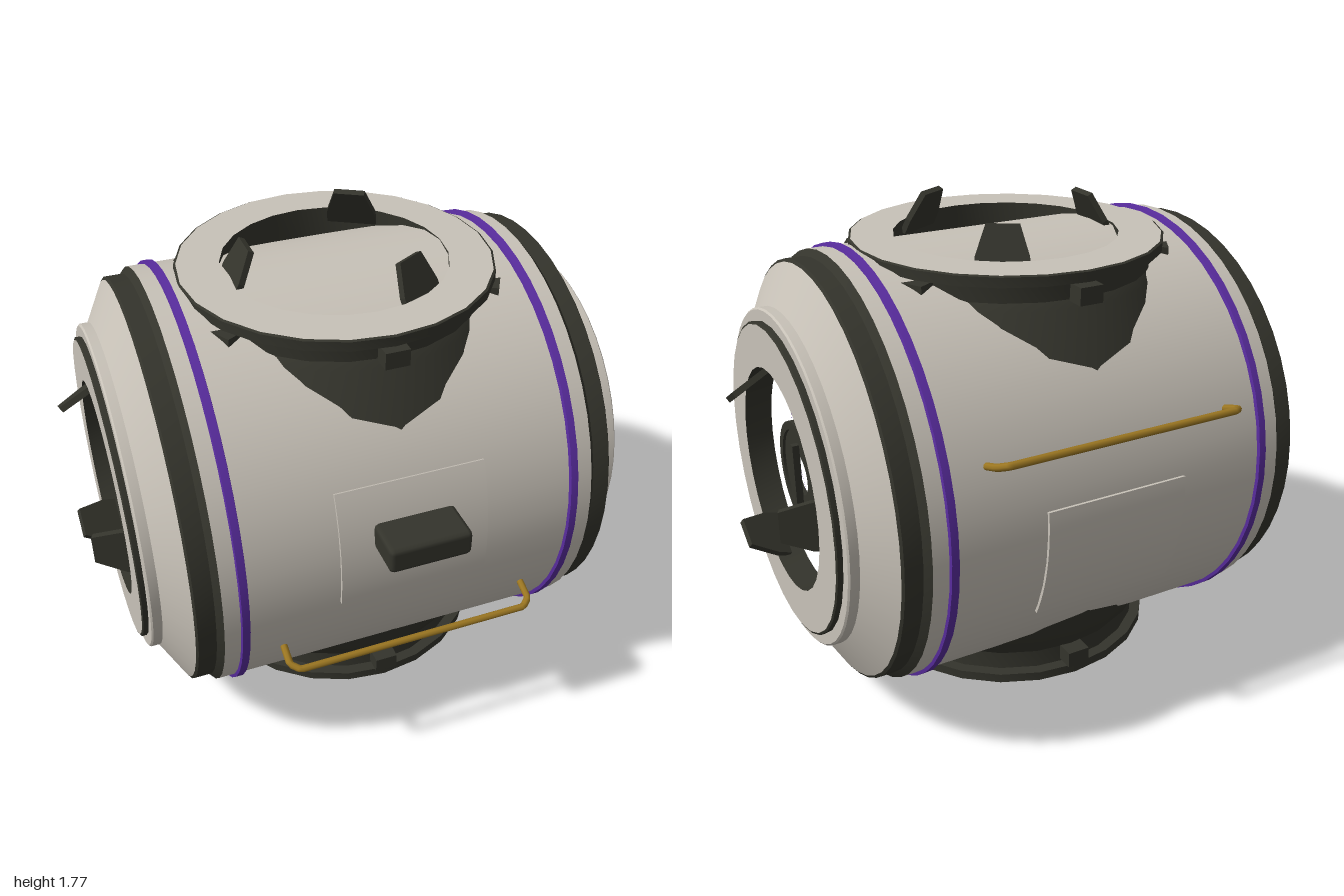
import * as THREE from 'three';
import { toCreasedNormals } from 'three/addons/utils/BufferGeometryUtils.js';
import { RoundedBoxGeometry } from 'three/addons/geometries/RoundedBoxGeometry.js';

function material(name, color, side = THREE.FrontSide) {
  const m = new THREE.MeshStandardMaterial({ color, side });
  m.name = name;
  return m;
}
const hull = material('warm grey hull', 0xc8c2b8);
const dark = material('dark metal', 0x34342c);
const darkSheet = material('dark sheet metal', 0x34342c, THREE.DoubleSide);
const purple = material('purple trim', 0x5a2da0);
const gold = material('gold rail', 0x9c7722);

function add(parent, name, geometry, mat) {
  const mesh = new THREE.Mesh(geometry, mat);
  mesh.name = name;
  parent.add(mesh);
  return mesh;
}

// Turned part about local y, with sharp edges kept
function turned(points, segments = 32) {
  const g = new THREE.LatheGeometry(points.map(([r, y]) => new THREE.Vector2(r, y)), segments);
  return toCreasedNormals(g, 0.45);
}

// Tapered guide petals around an opening whose rim is at height h
function addPetals(parent, h) {
  const s = new THREE.Shape([
    [-0.092, 0], [0.092, 0], [0.09, 0.055], [0.056, 0.163], [-0.056, 0.163], [-0.09, 0.055],
  ].map(([x, y]) => new THREE.Vector2(x, y)));
  const g = new THREE.ExtrudeGeometry(s, { depth: 0.022, bevelEnabled: false });
  for (let i = 0; i < 3; i++) {
    const pivot = new THREE.Group();
    pivot.name = 'guidePetal';
    pivot.rotation.y = i * Math.PI * 2 / 3;
    const petal = add(pivot, 'petalPlate', g, dark);
    petal.position.set(0, h - 0.04, -0.396);
    petal.rotation.x = 0.46;
    parent.add(pivot);
  }
}

// Rim of a docking port: dark edge, light face, dark inner wall
function addRim(parent, h, edge, depth, segments) {
  add(parent, 'rimEdge', turned([[0.42, h - edge], [0.558, h - edge], [0.558, h - 0.004], [0.55, h]], segments), dark);
  add(parent, 'rimFace', turned([[0.55, h], [0.4, h]], segments), hull);
  add(parent, 'innerWall', turned([[0.4, h], [0.4, h - depth]], segments), dark);
  addPetals(parent, h);
}

// End of the barrel, pointing along local y
function endCap(closed) {
  const g = new THREE.Group();
  g.name = 'endPort';
  add(g, 'shoulderBand', turned([[0.775, 0.667], [0.752, 0.688], [0.752, 0.75], [0.742, 0.757]], 48), dark);
  add(g, 'endCone', turned([[0.742, 0.757], [0.602, 0.836], [0.602, 0.868], [0.596, 0.874], [0.54, 0.874]], 48), hull);
  add(g, 'trimRing', turned([[0.77, 0.578], [0.787, 0.582], [0.787, 0.608], [0.77, 0.612]], 48), purple);
  addRim(g, 0.896, 0.024, 0.1, 32);
  // Hatch wheel with a cross bar
  add(g, 'hatchWheel', turned([[0.075, 0.8], [0.195, 0.8], [0.195, 0.83], [0.165, 0.83],
    [0.165, 0.82], [0.075, 0.82], [0.075, 0.8]], 32), dark);
  add(g, 'hatchBar', new THREE.BoxGeometry(0.24, 0.025, 0.022), dark).position.y = 0.832;
  if (closed) add(g, 'bulkhead', turned([[0.42, 0.8], [0.075, 0.8]], 32), darkSheet);
  g.rotation.z = -Math.PI / 2;
  return g;
}

// Radial port growing out of the barrel along local y
function radialPort() {
  const g = new THREE.Group();
  g.name = 'radialPort';
  add(g, 'skirt', turned([[0.65, 0.4], [0.535, 0.65], [0.515, 0.675], [0.518, 0.74]], 24), dark);
  addRim(g, 0.778, 0.038, 0.18, 24);
  // Latch lugs around the neck
  for (let i = 0; i < 6; i++) {
    const a = i * Math.PI / 3;
    const lug = add(g, 'latchLug', new THREE.BoxGeometry(0.085, 0.06, 0.07), dark);
    lug.position.set(Math.cos(a) * 0.54, 0.7, Math.sin(a) * 0.54);
    lug.rotation.y = Math.PI / 2 - a;
  }
  g.rotation.y = Math.PI / 2;
  return g;
}

// Curved access panel and handrail on one side
function sideFittings() {
  const g = new THREE.Group();
  g.name = 'sideFittings';
  const a0 = -0.11, a1 = 0.44;
  const s = new THREE.Shape();
  s.absarc(0, 0, 0.785, a0, a1, false);
  s.absarc(0, 0, 0.765, a1, a0, true);
  const panel = new THREE.ExtrudeGeometry(s, { depth: 0.528, bevelEnabled: false, curveSegments: 12 });
  panel.translate(0, 0, -0.264);
  panel.rotateY(-Math.PI / 2);
  add(g, 'accessPanel', toCreasedNormals(panel, 0.5), hull);

  const path = new THREE.CurvePath();
  const pts = [[-0.455, 0.77], [-0.455, 0.845], [-0.425, 0.872], [0.425, 0.872], [0.455, 0.845], [0.455, 0.77]]
    .map(([x, r]) => new THREE.Vector3(x, 0, r));
  for (let i = 1; i < pts.length; i++) path.add(new THREE.LineCurve3(pts[i - 1], pts[i]));
  const rail = add(g, 'handrail', new THREE.TubeGeometry(path, 80, 0.013, 8), gold);
  rail.rotation.x = 0.36;
  return g;
}

export function createModel() {
  const model = new THREE.Group();
  model.name = 'stationModule';
  const core = new THREE.Group();
  core.name = 'core';
  core.position.set(0, 0.884, -0.035);
  model.add(core);

  // Barrel, open at both ends
  const barrel = add(core, 'barrel', turned([[0.775, -0.667], [0.775, 0.667]], 48), hull);
  barrel.rotation.z = -Math.PI / 2;

  // Opposite pairs: ends turn about y, ports about z, fittings about x
  const pairs = [
    ['y', (i) => endCap(i === 1)],
    ['z', radialPort],
    ['x', sideFittings],
  ];
  for (const [axis, build] of pairs) {
    for (let i = 0; i < 2; i++) {
      const holder = new THREE.Group();
      holder.name = 'mount';
      holder.add(build(i));
      holder.rotation[axis] = i * Math.PI;
      core.add(holder);
    }
  }

  // Front sensor block
  add(core, 'sensorBlock', new RoundedBoxGeometry(0.29, 0.095, 0.2, 1, 0.018), dark).position.set(0, 0.163, 0.803);
  return model;
}
